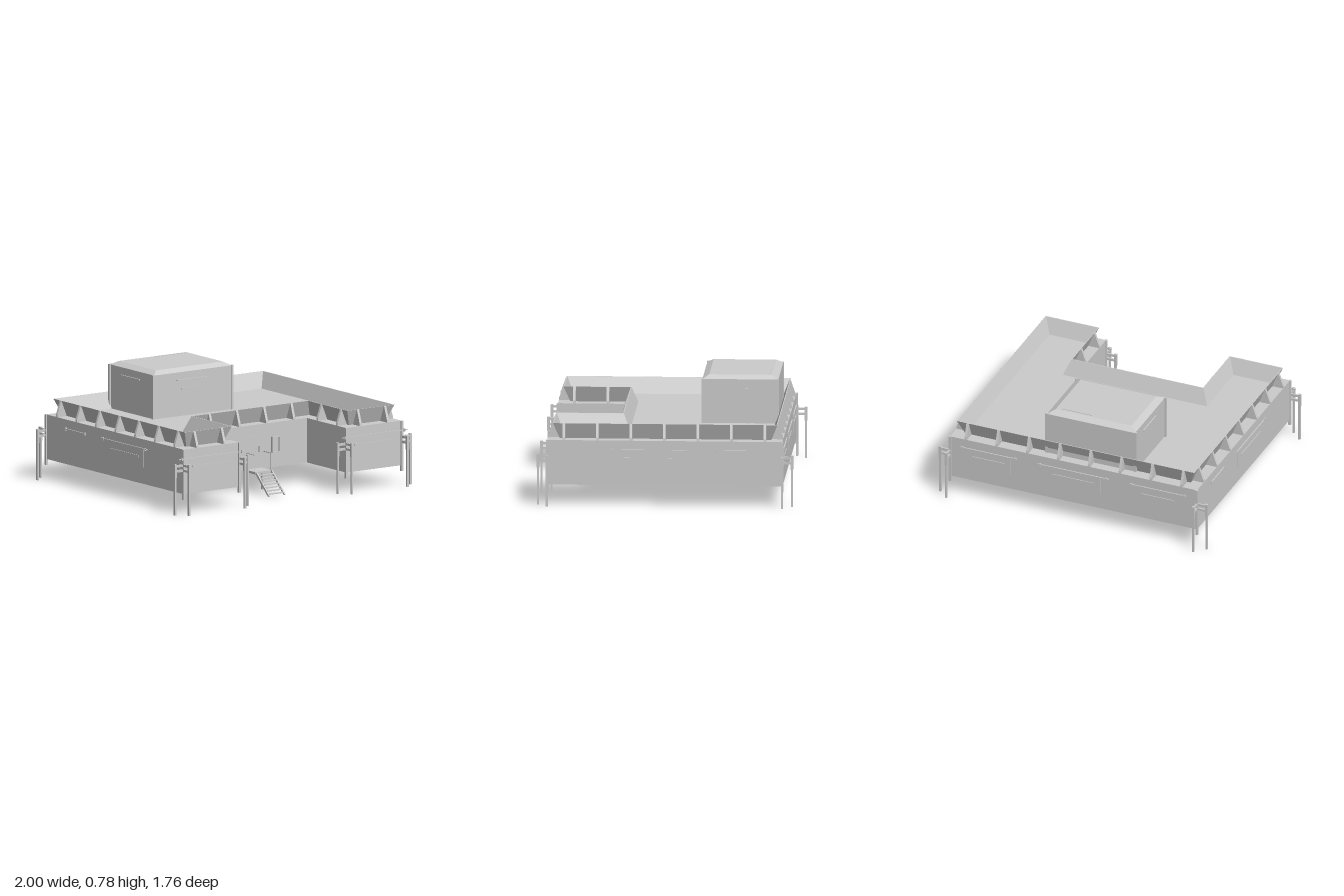
import * as THREE from 'three';

const material = new THREE.MeshStandardMaterial({ color: 0xcccccc, flatShading: true, side: THREE.DoubleSide });
const BASE = 0.14, DECK = 0.45, PARAPET = 0.56;

function addMesh(parent, name, geometry) {
  const mesh = new THREE.Mesh(geometry, material);
  mesh.name = name;
  parent.add(mesh);
  return mesh;
}

// Box given by its limits on each axis
function box(parent, name, x0, x1, y0, y1, z0, z1) {
  const mesh = addMesh(parent, name, new THREE.BoxGeometry(Math.abs(x1 - x0), y1 - y0, Math.abs(z1 - z0)));
  mesh.position.set((x0 + x1) / 2, (y0 + y1) / 2, (z0 + z1) / 2);
  return mesh;
}

// U-shaped plan as [x, z], moved inwards by d
function plan(d) {
  const o = 0.92 - d, n = 0.45 + d, f = 0.8 - d, c = 0.34 - d, b = -0.81 + d;
  return [[-o, f], [-n, f], [-n, c], [n, c], [n, f], [o, f], [o, b], [-o, b]];
}

// Skin through closed rings of [x, y, z] points
function skin(rings, cap = false) {
  const pos = [], index = [], n = rings[0].length;
  rings.forEach((r) => r.forEach((p) => pos.push(...p)));
  for (let k = 0; k < rings.length - 1; k++) {
    for (let i = 0; i < n; i++) {
      const a = k * n + i, b = k * n + (i + 1) % n;
      index.push(a, b, b + n, a, b + n, a + n);
    }
  }
  if (cap) {
    const s = (rings.length - 1) * n;
    for (let i = 1; i < n - 1; i++) index.push(s, s + i, s + i + 1);
  }
  const g = new THREE.BufferGeometry();
  g.setAttribute('position', new THREE.Float32BufferAttribute(pos, 3));
  g.setIndex(index);
  const flat = g.toNonIndexed();
  flat.computeVertexNormals();
  return flat;
}

// Triangular buttress between ledge and parapet; angle turns +x outwards
const ribShape = new THREE.Shape([[-0.083, DECK], [0, DECK], [-0.002, 0.468], [-0.034, PARAPET], [-0.042, PARAPET]]
  .map((p) => new THREE.Vector2(...p)));
const ribGeometry = new THREE.ExtrudeGeometry(ribShape, { depth: 0.018, bevelEnabled: false }).translate(0, 0, -0.009);
function rib(parent, x, z, angle) {
  const mesh = addMesh(parent, 'parapetRib', ribGeometry);
  mesh.position.set(x, 0, z);
  mesh.rotation.y = angle;
}

// Wall shutter: plate, slot bar and top rail; angle turns +z outwards
function shutter(parent, x, z, angle, width, rail, plate = true) {
  const g = new THREE.Group();
  g.name = 'wallShutter';
  g.position.set(x, 0, z);
  g.rotation.y = angle;
  if (plate) {
    box(g, 'shutterPlate', -width / 2, width / 2, 0.255, 0.385, 0, 0.003);
    box(g, 'shutterSlot', -width * 0.38, width * 0.38, 0.318, 0.332, 0, 0.008);
  }
  box(g, 'shutterRail', -rail / 2, rail / 2, 0.381, 0.388, 0, 0.008);
  for (const s of [-1, 1]) box(g, 'railEnd', s * rail * 0.46 - 0.004, s * rail * 0.46 + 0.004, 0.374, 0.394, 0, 0.01);
  parent.add(g);
}

// Corner post with one outrigger leg sideways and one lengthways
function cornerLegs(parent, x, z, sx, sz) {
  const g = new THREE.Group();
  g.name = 'cornerLegs';
  g.position.set(x, 0, z);
  g.scale.set(sx, 1, sz);
  box(g, 'cornerPost', -0.01, 0.008, 0.1, DECK, -0.01, 0.008);
  for (const [name, turn, reach] of [['sideLeg', 0, 0.071], ['endLeg', -Math.PI / 2, 0.065]]) {
    const leg = new THREE.Group();
    leg.name = name;
    leg.rotation.y = turn;
    box(leg, 'legShaft', reach - 0.007, reach + 0.007, 0, 0.3, -0.007, 0.007);
    box(leg, 'legCollar', reach - 0.009, reach + 0.009, 0.26, 0.355, -0.009, 0.009);
    for (const y of [0.305, 0.34]) box(leg, 'legArm', -0.005, reach, y - 0.008, y + 0.008, -0.006, 0.006);
    g.add(leg);
  }
  parent.add(g);
}

export function createModel() {
  const root = new THREE.Group();
  root.name = 'raisedStation';

  // Main U-shaped block
  const shape = new THREE.Shape(plan(0).map(([x, z]) => new THREE.Vector2(x, -z)));
  const body = new THREE.ExtrudeGeometry(shape, { depth: DECK - BASE, bevelEnabled: false });
  addMesh(root, 'mainBlock', body.rotateX(-Math.PI / 2).translate(0, BASE, 0));

  // Outward-leaning parapet
  const ring = (d, y) => plan(d).map(([x, z]) => [x, y, z]);
  addMesh(root, 'parapet', skin([ring(0.08, DECK), ring(0.036, PARAPET), ring(0.042, PARAPET), ring(0.086, DECK)]));

  // Parapet ribs
  const H = Math.PI / 2;
  for (let i = 0; i < 8; i++) {
    const x = -0.803 + i * 0.2295;
    rib(root, x, -0.81, H);
    rib(root, x, i > 1 && i < 6 ? 0.34 : 0.8, -H);
  }
  for (let i = -3; i <= 3; i++) {
    const z = i * 0.2295;
    rib(root, 0.92, z, 0);
    rib(root, -0.92, z, Math.PI);
    if (i > 1) {
      rib(root, 0.45, z, Math.PI);
      rib(root, -0.45, z, 0);
    }
  }

  // Shutters and legs, mirrored left and right
  for (const s of [-1, 1]) {
    shutter(root, s * 0.92, 0.11, s * H, 0.44, 0.53);
    shutter(root, s * 0.92, -0.46, s * H, 0.2, 0.24, false);
    shutter(root, s * 0.685, 0.8, 0, 0.44, 0.55);
    shutter(root, s * 0.63, -0.81, Math.PI, 0.32, 0.42);
    cornerLegs(root, s * 0.92, 0.8, s, 1);
    cornerLegs(root, s * 0.92, -0.81, s, -1);
    cornerLegs(root, s * 0.45, 0.8, -s, 1);
  }
  shutter(root, 0, -0.81, Math.PI, 0.4, 0.53);

  // Rooftop cabin with chamfered roof
  const cabin = new THREE.Group();
  cabin.name = 'roofCabin';
  const rect = (d, y) => [[-0.43 + d, y, -0.225 - d], [0.225 - d, y, -0.225 - d], [0.225 - d, y, -0.745 + d], [-0.43 + d, y, -0.745 + d]];
  addMesh(cabin, 'cabinShell', skin([rect(0, DECK), rect(0, 0.755), rect(0.045, 0.78)], true));
  for (const x of [-0.432, 0.227]) {
    for (const z of [-0.229, -0.741]) box(cabin, 'cabinPost', x - 0.01, x + 0.01, DECK, 0.758, z - 0.008, z + 0.008);
  }
  box(cabin, 'cabinRail', -0.24, 0.02, 0.697, 0.704, -0.225, -0.216);
  box(cabin, 'cabinPlate', -0.21, -0.02, 0.6, 0.7, -0.225, -0.222);
  box(cabin, 'cabinSlot', -0.2, -0.03, 0.632, 0.645, -0.225, -0.218);
  box(cabin, 'cabinDoor', 0.225, 0.228, DECK, 0.69, -0.54, -0.44);
  box(cabin, 'cabinHandle', 0.225, 0.234, 0.58, 0.615, -0.545, -0.538);
  box(cabin, 'cabinSideRail', -0.438, -0.43, 0.697, 0.704, -0.61, -0.39);
  box(cabin, 'roofStrip', -0.08, 0.14, 0.778, 0.783, -0.684, -0.676);
  root.add(cabin);

  // Entrance door and framed window
  box(root, 'entranceDoor', -0.055, 0.055, BASE, 0.38, 0.34, 0.343);
  box(root, 'doorHandle', 0.042, 0.048, 0.26, 0.3, 0.34, 0.35);
  box(root, 'windowPane', 0.155, 0.21, 0.25, 0.345, 0.34, 0.346);
  for (const x of [0.153, 0.212]) box(root, 'windowSide', x - 0.004, x + 0.004, 0.242, 0.352, 0.34, 0.354);
  for (const y of [0.245, 0.349]) box(root, 'windowBar', 0.153, 0.212, y - 0.004, y + 0.004, 0.34, 0.354);

  // Landing, stairs and handrails
  const stairs = new THREE.Group();
  stairs.name = 'entranceStairs';
  box(stairs, 'landing', -0.072, 0.072, 0.132, 0.148, 0.34, 0.46);
  const stringer = new THREE.ExtrudeGeometry(new THREE.Shape([[0.605, 0], [0.625, 0], [0.47, 0.148], [0.445, 0.148]]
    .map(([z, y]) => new THREE.Vector2(-z, y))), { depth: 0.01, bevelEnabled: false }).rotateY(H);
  for (const s of [-1, 1]) {
    addMesh(stairs, 'stringer', stringer).position.x = s * 0.065 - 0.005;
    box(stairs, 'landingPost', s * 0.065 - 0.007, s * 0.065 + 0.007, 0, 0.135, 0.35, 0.364);
    for (const z of [0.36, 0.45]) box(stairs, 'railPost', s * 0.068 - 0.002, s * 0.068 + 0.002, 0.148, 0.265, z - 0.002, z + 0.002);
    box(stairs, 'handrail', s * 0.068 - 0.002, s * 0.068 + 0.002, 0.262, 0.267, 0.36, 0.452);
  }
  for (let i = 0; i < 7; i++) {
    const y = 0.016 + i * 0.0185, z = 0.603 - i * 0.0195;
    box(stairs, 'tread', -0.062, 0.062, y - 0.003, y + 0.003, z - 0.012, z + 0.012);
  }
  root.add(stairs);

  return root;
}
